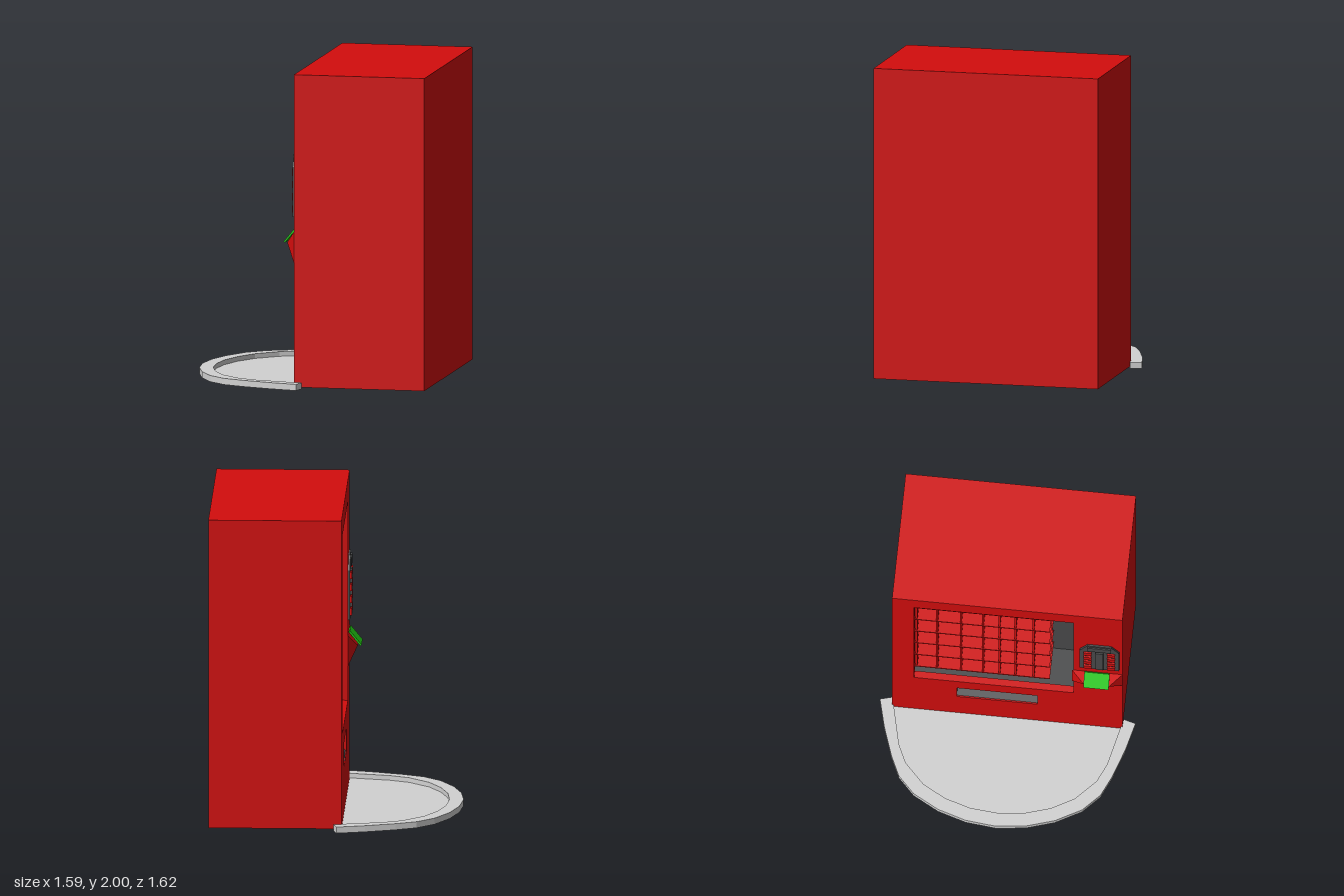
import * as THREE from 'three';
import { ConvexGeometry } from 'three/addons/geometries/ConvexGeometry.js';

// Built with the machine's door facing local +z, then turned to face -x.
export function createModel() {
  const model = new THREE.Group();
  model.name = 'vendingMachine';
  const cabinet = new THREE.Group();
  cabinet.name = 'cabinet';
  cabinet.rotation.y = -Math.PI / 2;
  model.add(cabinet);

  const material = (name, color, side = THREE.FrontSide) => {
    const m = new THREE.MeshStandardMaterial({ color, side });
    m.name = name;
    return m;
  };
  const red = material('red', 0xd40d0d);
  const dark = material('dark grey', 0x4a4b4c, THREE.DoubleSide);
  const pale = material('pale grey', 0xd2d2d2);
  const green = material('green', 0x20c412);

  const add = (name, geometry, mat, parent = cabinet) => {
    const mesh = new THREE.Mesh(geometry, mat);
    mesh.name = name;
    parent.add(mesh);
    return mesh;
  };
  const boxGeometry = (x0, x1, y0, y1, z0, z1) =>
    new THREE.BoxGeometry(x1 - x0, y1 - y0, z1 - z0)
      .translate((x0 + x1) / 2, (y0 + y1) / 2, (z0 + z1) / 2);
  const box = (name, mat, ...size) => add(name, boxGeometry(...size), mat);
  // Box without its +z face
  const openBox = (name, mat, ...size) => {
    const g = boxGeometry(...size);
    g.groups.splice(4, 1);
    return add(name, g, Array(6).fill(mat));
  };
  const points = (list) => list.map(([x, y]) => new THREE.Vector2(x, y));
  const rect = (x0, x1, y0, y1) => points([[x0, y0], [x1, y0], [x1, y1], [x0, y1]]);
  const extrude = (outline, depth, holes = []) => {
    const shape = new THREE.Shape(outline);
    holes.forEach((h) => shape.holes.push(new THREE.Path(h)));
    return new THREE.ExtrudeGeometry(shape, { depth, bevelEnabled: false });
  };

  // Shell and door, with openings for the window and the delivery slot
  const windowSize = [-0.59, 0.42, 0.58, 1.865];
  const slotSize = [-0.32, 0.19, 0.305, 0.46];
  openBox('shell', red, -0.73, 0.73, 0.01, 2, -0.79, 0.005);
  add('door', extrude(rect(-0.73, 0.73, 0.01, 2), 0.045,
    [rect(...windowSize), rect(...slotSize)]), red).position.z = 0.005;

  // Dark linings
  openBox('displayLining', dark, -0.6, 0.421, 0.54, 1.875, -0.25, 0.005);
  openBox('slotLining', dark, ...slotSize, -0.11, 0.045);

  // Sloping chute inside the delivery slot
  const chute = add('deliveryChute', new THREE.PlaneGeometry(0.51, 0.21), dark);
  chute.position.set(-0.065, 0.383, -0.032);
  chute.rotation.x = -0.79;

  // Shelves and dividers
  for (let i = 0; i < 6; i++) {
    const y = 0.66 + i * 0.2146;
    box('shelf', red, -0.599, 0.264, y - 0.012, y, -0.249, 0);
  }
  for (const x of [-0.58, -0.45, -0.3, -0.16, -0.056, 0.046, 0.16]) {
    box('divider', red, x - 0.006, x + 0.006, 0.65, 1.87, -0.249, -0.005);
  }

  // Keypad
  add('keypadPlate', extrude(points([[0.46, 1.09], [0.71, 1.09], [0.71, 1.41],
    [0.66, 1.5], [0.51, 1.5], [0.46, 1.41]]), 0.012), dark).position.z = 0.05;
  box('keypadDisplay', dark, 0.51, 0.66, 1.42, 1.48, 0.06, 0.07);
  box('keypadCentre', dark, 0.56, 0.61, 1.11, 1.4, 0.06, 0.073);
  for (let row = 0; row < 4; row++) {
    const y = 1.115 + row * 0.078;
    for (const x of [0.485, 0.635]) {
      box('button', red, x, x + 0.05, y, y + 0.045, 0.06, 0.073);
    }
  }

  // Payment housing with a tilted green pad
  const housing = [[0.41, 0.8, 0.05], [0.73, 0.8, 0.05], [0.41, 1, 0.05],
    [0.73, 1, 0.05], [0.49, 0.92, 0.11], [0.65, 0.92, 0.11]];
  add('paymentHousing', new ConvexGeometry(housing.map((p) => new THREE.Vector3(...p))), red);
  const pad = add('paymentPad', new THREE.BoxGeometry(0.16, 0.115, 0.012), green);
  pad.position.set(0.57, 0.965, 0.093);
  pad.rotation.x = -0.69;

  // Half-round floor tray with a raised rim
  const mirrored = (half) =>
    points([...half, ...half.slice(0, -1).reverse().map(([x, y]) => [-x, y])]);
  const outer = mirrored([[0.81, -0.02], [0.765, -0.2], [0.7, -0.39], [0.64, -0.52],
    [0.535, -0.63], [0.37, -0.72], [0.19, -0.775], [0, -0.795]]);
  const inner = mirrored([[0.735, 0], [0.72, -0.05], [0.69, -0.18], [0.66, -0.31],
    [0.605, -0.43], [0.48, -0.56], [0.335, -0.64], [0.17, -0.69], [0, -0.705]]);
  const tray = new THREE.Group();
  tray.name = 'floorTray';
  tray.rotation.x = -Math.PI / 2;
  cabinet.add(tray);
  add('trayRim', extrude([...outer, ...inner.slice().reverse()], 0.04), pale, tray);
  add('trayFloor', extrude(inner.slice(1, -1), 0.01), pale, tray);

  return model;
}
